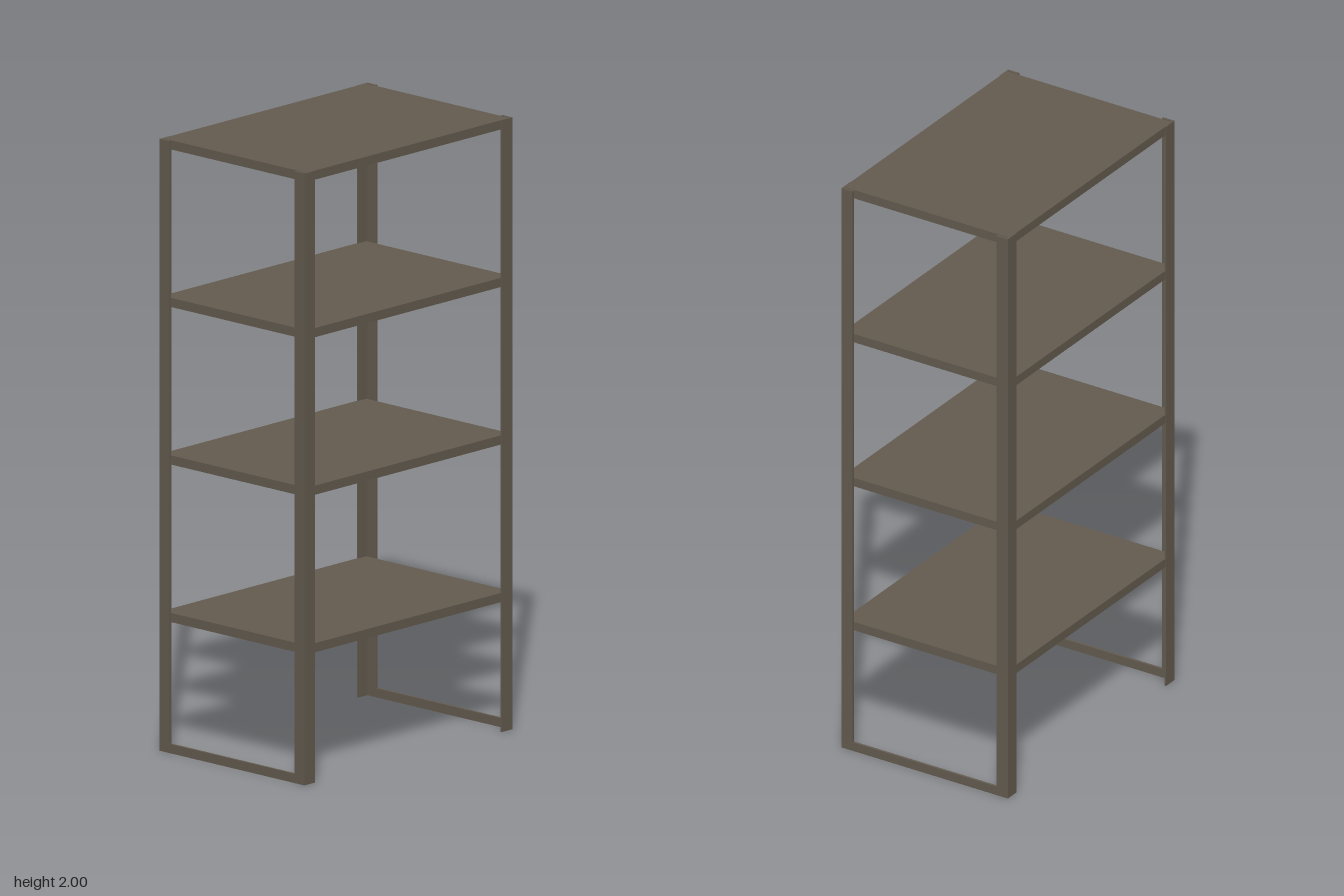
import * as THREE from 'three';

export function createModel() {
  const group = new THREE.Group();
  const metal = new THREE.MeshStandardMaterial({ color: 0x645b4f });
  metal.name = 'taupe metal';

  const HX = 0.48, HZ = 0.315, H = 2, T = 0.006, SIDE_T = 0.008;
  const FRONT_FLANGE = 0.05, SIDE_FLANGE = 0.043, BAR = 0.03;
  const SHELF_X = 0.936, SHELF_Z = 0.626, SHEET = 0.005;

  const add = (parent, name, geometry, x, y, z) => {
    const mesh = new THREE.Mesh(geometry, metal);
    mesh.name = name;
    mesh.position.set(x, y, z);
    parent.add(mesh);
  };

  // Folded sheet shelves: a thin panel with a rim turned down on all four sides
  const panel = new THREE.BoxGeometry(SHELF_X, SHEET, SHELF_Z);
  const rim = BAR - SHEET;
  const longLip = new THREE.BoxGeometry(SHELF_X, rim, SHEET);
  const shortLip = new THREE.BoxGeometry(SHEET, rim, SHELF_Z - 2 * SHEET);
  [0.455, 0.97, 1.485, 2].forEach((top, i) => {
    const shelf = new THREE.Group();
    shelf.name = 'shelf' + (i + 1);
    shelf.position.y = top;
    group.add(shelf);
    add(shelf, 'shelfPanel', panel, 0, -SHEET / 2, 0);
    for (const s of [1, -1]) {
      add(shelf, s > 0 ? 'frontLip' : 'backLip', longLip, 0, -SHEET - rim / 2, s * (SHELF_Z - SHEET) / 2);
      add(shelf, s > 0 ? 'leftLip' : 'rightLip', shortLip, s * (SHELF_X - SHEET) / 2, -SHEET - rim / 2, 0);
    }
  });

  // L-section of a corner post, with its outer corner at (HX, HZ)
  const section = [
    [HX, HZ], [HX - FRONT_FLANGE, HZ], [HX - FRONT_FLANGE, HZ - T],
    [HX - SIDE_T, HZ - T], [HX - SIDE_T, HZ - SIDE_FLANGE], [HX, HZ - SIDE_FLANGE],
  ];
  for (const sx of [1, -1]) {
    const side = sx > 0 ? 'left' : 'right';
    for (const sz of [1, -1]) {
      // Shape lies in x and -z, then is stood upright
      const shape = new THREE.Shape(section.map(([x, z]) => new THREE.Vector2(x * sx, -z * sz)));
      const post = new THREE.ExtrudeGeometry(shape, { depth: H, bevelEnabled: false });
      post.rotateX(-Math.PI / 2);
      add(group, side + (sz > 0 ? 'Front' : 'Back') + 'Post', post, 0, 0, 0);
    }
    // Flat foot rail joining the two posts of a side
    add(group, side + 'FootRail', new THREE.BoxGeometry(SIDE_T, BAR, 2 * (HZ - SIDE_FLANGE)),
      sx * (HX - SIDE_T / 2), BAR / 2, 0);
  }
  return group;
}
